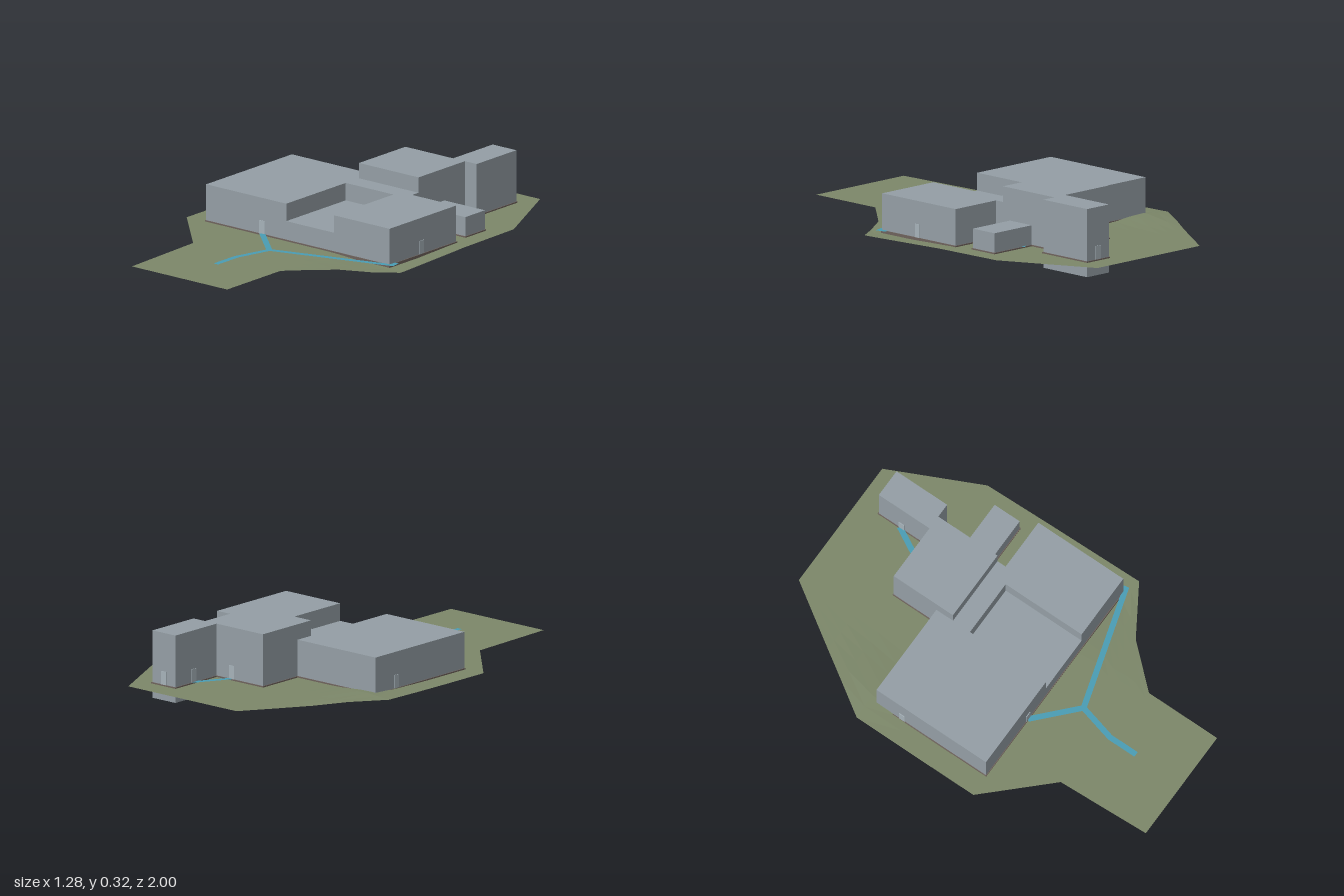
import * as THREE from 'three';

const mat = (name, color) => {
  const m = new THREE.MeshStandardMaterial({ color });
  m.name = name;
  return m;
};

export function createModel() {
  const model = new THREE.Group();
  const wall = mat('blue grey wall', 0x949ea5);
  const doorMat = mat('pale door', 0xa6b2b9);
  const plinthMat = mat('brown plinth', 0x6e625c);
  const grass = mat('olive ground', 0x7c8769);
  const water = mat('blue path', 0x4a9db4);
  grass.side = water.side = THREE.DoubleSide;
  grass.flatShading = true;

  const box = (name, material, x0, x1, y0, y1, z0, z1) => {
    const mesh = new THREE.Mesh(new THREE.BoxGeometry(x1 - x0, y1 - y0, z1 - z0), material);
    mesh.position.set((x0 + x1) / 2, (y0 + y1) / 2, (z0 + z1) / 2);
    mesh.name = name;
    model.add(mesh);
  };

  // Building volumes: name, x range, y range, z range
  const volumes = [
    ['leftWing', -0.535, -0.06, 0.06, 0.245, -0.367, 0.243],
    ['lowCentre', -0.06, 0.223, 0.06, 0.162, -0.18, 0.243],
    ['rightWing', 0.223, 0.553, 0.06, 0.245, -0.23, 0.243],
    ['linkBlock', -0.06, 0.293, 0.06, 0.245, -0.275, -0.18],
    ['backHall', -0.06, 0.293, 0, 0.318, -0.605, -0.275],
    ['backTower', 0.223, 0.363, 0, 0.318, -0.887, -0.605],
    ['sideAnnex', 0.293, 0.533, 0.06, 0.165, -0.46, -0.32],
  ];
  for (const [name, ...r] of volumes) box(name, wall, ...r);

  // Plinth strips around the wall feet
  const o = 0.004;
  for (const [name, x0, x1, , , z0, z1] of volumes) {
    box(name + 'Plinth', plinthMat, x0 - (x0 === -0.06 && name === 'lowCentre' ? 0 : o), x1 + o,
      0.0605, 0.074, z0 - o, z1 + o);
  }

  // Doors: thin plates, facing along x or z
  const door = (name, x, z, alongX) => {
    const a = alongX ? 0.015 : 0.003, b = alongX ? 0.003 : 0.015;
    box(name, doorMat, x - a, x + a, 0.074, 0.137, z - b, z + b);
  };
  door('frontDoor', -0.203, 0.243, true);
  door('rightDoor', 0.553, 0.015, false);
  door('leftDoor', -0.535, -0.225, false);
  door('towerBackDoor', 0.293, -0.887, true);
  door('towerSideDoor', 0.223, -0.76, false);
  door('hallBackDoor', 0.13, -0.605, true);

  // Ground sheet from cross-sections between its left and right outlines
  const left = [[-1, -0.25], [-0.4, -0.645], [0.25, -0.645], [0.54, -0.365], [1, -0.345]];
  const right = [[-1, 0.41], [-0.56, 0.62], [0.27, 0.64], [0.42, 0.4], [0.62, 0.22], [1, 0.22]];
  const edge = (pts, z) => {
    let i = 1;
    while (i < pts.length - 1 && z > pts[i][0]) i++;
    const [z0, a] = pts[i - 1], [z1, b] = pts[i];
    return a + (b - a) * (z - z0) / (z1 - z0);
  };
  const bump = (v, c, w) => Math.max(0, 1 - Math.abs(v - c) / w);
  const height = (x, z) => 0.068
    - 0.016 * bump(x, 0.52, 0.3) * bump(z, 0.25, 0.45)
    + 0.016 * bump(x, -0.5, 0.2) * bump(z, -0.42, 0.3);
  const rows = [-1, -0.85, -0.7, -0.56, -0.4, -0.2, 0, 0.15, 0.25, 0.27, 0.34, 0.42, 0.48, 0.54, 0.62, 1];
  const cols = 20, pos = [], idx = [];
  rows.forEach((z, r) => {
    const a = edge(left, z), b = edge(right, z);
    for (let c = 0; c <= cols; c++) {
      const x = a + (b - a) * c / cols;
      pos.push(x, height(x, z), z);
      if (r && c) {
        const p = r * (cols + 1) + c, q = p - cols - 1;
        idx.push(q - 1, p - 1, p, q - 1, p, q);
      }
    }
  });
  const groundGeo = new THREE.BufferGeometry();
  groundGeo.setAttribute('position', new THREE.Float32BufferAttribute(pos, 3));
  groundGeo.setIndex(idx);
  groundGeo.computeVertexNormals();
  const ground = new THREE.Mesh(groundGeo, grass);
  ground.name = 'ground';
  model.add(ground);

  // Flat ribbons with mitred bends for the paths
  const ribbon = (name, pts, width = 0.027) => {
    const v = pts.map(p => new THREE.Vector2(...p));
    const sides = [[], []];
    v.forEach((p, i) => {
      const d0 = (i ? p.clone().sub(v[i - 1]) : v[1].clone().sub(p)).normalize();
      const d1 = (i < v.length - 1 ? v[i + 1].clone().sub(p) : d0.clone()).normalize();
      const t = d0.clone().add(d1).normalize();
      const n = new THREE.Vector2(-t.y, t.x).multiplyScalar(width / 2 / t.dot(d0));
      sides[0].push(p.clone().add(n));
      sides[1].unshift(p.clone().sub(n));
    });
    const geo = new THREE.ShapeGeometry(new THREE.Shape([...sides[0], ...sides[1]].map(p => p.setY(-p.y))));
    const mesh = new THREE.Mesh(geo.rotateX(-Math.PI / 2), water);
    mesh.position.y = 0.0755;
    mesh.name = name;
    model.add(mesh);
  };
  ribbon('entrancePath', [[-0.06, 0.745], [-0.06, 0.6], [-0.013, 0.42], [-0.203, 0.243]]);
  ribbon('sidePath', [[-0.013, 0.42], [0.568, 0.245], [0.56, 0.205]]);
  ribbon('backPath', [[0.223, -0.77], [0.13, -0.6]]);
  ribbon('annexPath', [[0.335, -0.455], [0.36, -0.472]], 0.015);

  return model;
}
